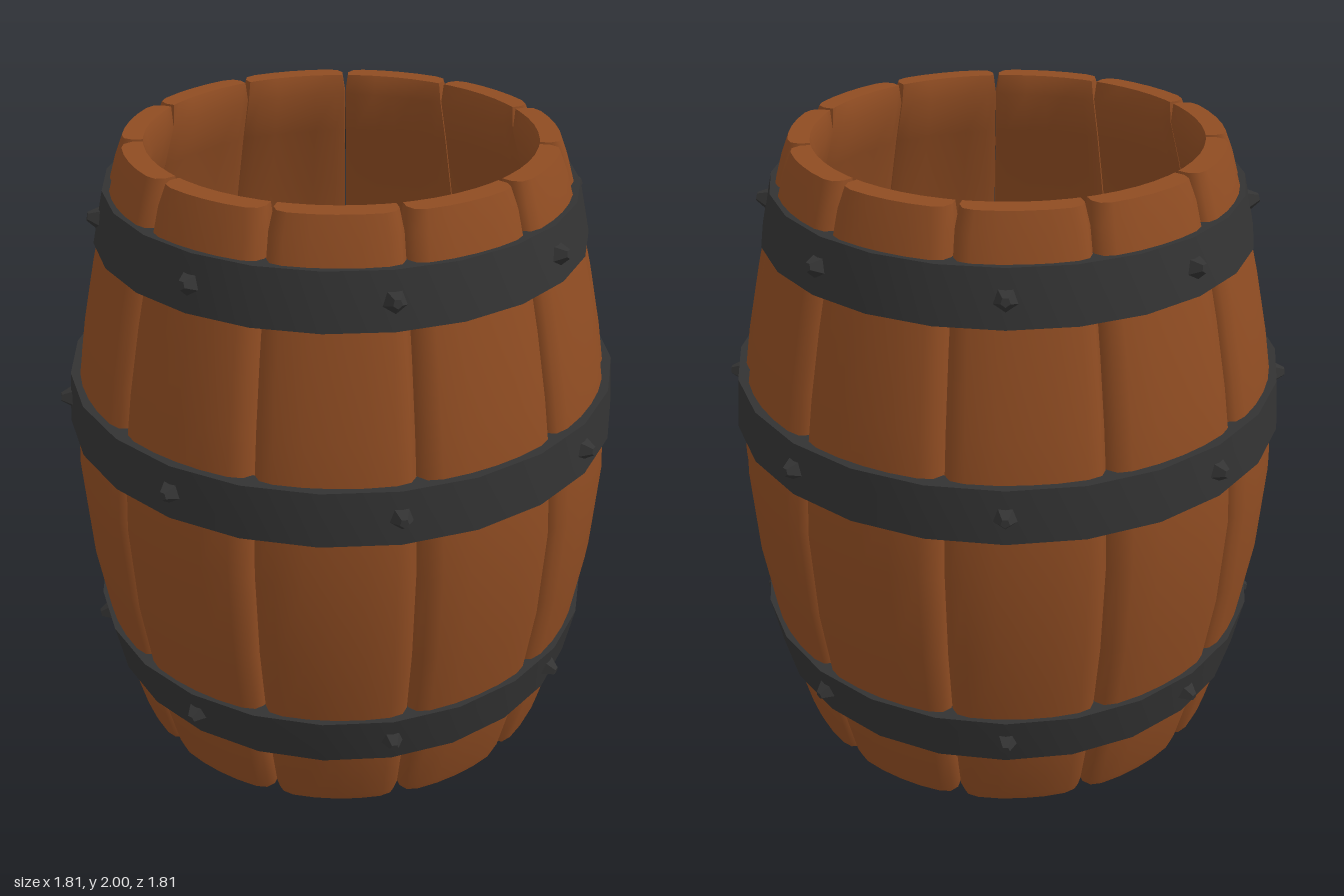
import * as THREE from 'three';
import { toCreasedNormals } from 'three/addons/utils/BufferGeometryUtils.js';

const STAVES = 11;
const STEP = (Math.PI * 2) / STAVES;

// barrel side: [height, outer radius]
const SIDE = [
  [0, 0.73], [0.03, 0.737], [0.2, 0.778], [0.4, 0.815], [0.65, 0.852], [0.95, 0.868],
  [1.2, 0.852], [1.4, 0.818], [1.6, 0.774], [1.8, 0.722], [1.94, 0.68], [2, 0.66],
];
// stave section: [position across the stave, depth below the outer face]
const SECTION = [
  [-0.99, 0.035], [-0.9, 0.01], [-0.72, 0.001], [-0.36, 0], [0, 0], [0.36, 0], [0.72, 0.001],
  [0.9, 0.01], [0.99, 0.035], [0.99, 0.09], [0.8, 0.108], [0.4, 0.112], [0, 0.112],
  [-0.4, 0.112], [-0.8, 0.108], [-0.99, 0.09],
];

function staveGeometry() {
  const pos = [], index = [], n = SECTION.length, last = SIDE.length - 1;
  SIDE.forEach(([y, radius], j) => {
    const end = j === 0 || j === last;
    for (const [u, depth] of SECTION) {
      // the ends are rounded over, mostly on the inside
      const d = end ? Math.min(depth, 0.07) + (depth < 0.04 ? 0.004 : 0) : depth;
      const a = u * (end ? 0.955 : 1) * STEP / 2;
      pos.push((radius - d) * Math.sin(a), y, (radius - d) * Math.cos(a));
    }
  });
  for (let j = 0; j < last; j++) {
    for (let i = 0; i < n; i++) {
      const a = j * n + i, b = j * n + (i + 1) % n;
      index.push(a, b, b + n, a, b + n, a + n);
    }
  }
  // end caps
  for (const [j, top] of [[0, false], [last, true]]) {
    const c = pos.length / 3;
    pos.push(0, SIDE[j][0], SIDE[j][1] - 0.035);
    for (let i = 0; i < n; i++) {
      const a = j * n + i, b = j * n + (i + 1) % n;
      if (top) index.push(c, a, b); else index.push(c, b, a);
    }
  }
  const g = new THREE.BufferGeometry();
  g.setAttribute('position', new THREE.Float32BufferAttribute(pos, 3));
  g.setIndex(index);
  return toCreasedNormals(g, 0.95);
}

function hoopGeometry(y0, y1, r0, r1) {
  const t = 0.06;
  const ring = [[r0 - t, y0], [r0, y0], [r1, y1], [r1 - t, y1], [r0 - t, y0]];
  return toCreasedNormals(new THREE.LatheGeometry(ring.map(p => new THREE.Vector2(...p)), 24), 0.6);
}

export function createModel() {
  const wood = new THREE.MeshStandardMaterial({ name: 'wood', color: 0x8f4c22 });
  const iron = new THREE.MeshStandardMaterial({ name: 'iron', color: 0x333333 });
  const barrel = new THREE.Group();
  barrel.name = 'barrel';
  const add = (parent, name, geometry, material) => {
    const mesh = new THREE.Mesh(geometry, material);
    mesh.name = name;
    parent.add(mesh);
    return mesh;
  };

  // ring of staves, one centred on the front
  const staves = new THREE.Group();
  staves.name = 'staves';
  barrel.add(staves);
  const stave = staveGeometry();
  for (let i = 0; i < STAVES; i++) add(staves, 'stave', stave, wood).rotation.y = i * STEP;

  // bottom board, slightly recessed
  add(barrel, 'floor', new THREE.CylinderGeometry(0.66, 0.66, 0.03, 32), wood).position.y = 0.045;

  // iron hoops with eight rivets each
  const rivet = new THREE.CylinderGeometry(0.014, 0.042, 0.045, 5).toNonIndexed();
  rivet.computeVertexNormals();
  rivet.rotateX(Math.PI / 2);
  const hoops = [
    ['lowerHoop', 0.24, 0.415, 0.805, 0.838],
    ['middleHoop', 1.105, 1.272, 0.882, 0.868],
    ['upperHoop', 1.705, 1.868, 0.76, 0.722],
  ];
  for (const [name, y0, y1, r0, r1] of hoops) {
    const hoop = new THREE.Group();
    hoop.name = name;
    barrel.add(hoop);
    add(hoop, 'band', hoopGeometry(y0, y1, r0, r1), iron);
    for (let i = 0; i < 8; i++) {
      const spoke = new THREE.Group();
      spoke.name = 'rivetMount';
      spoke.rotation.y = i * Math.PI / 4;
      hoop.add(spoke);
      const head = add(spoke, 'rivet', rivet, iron);
      head.position.set(0, (y0 + y1) / 2, (r0 + r1) / 2 + 0.008);
      head.rotation.x = Math.atan2(r1 - r0, y1 - y0);
    }
  }
  return barrel;
}
